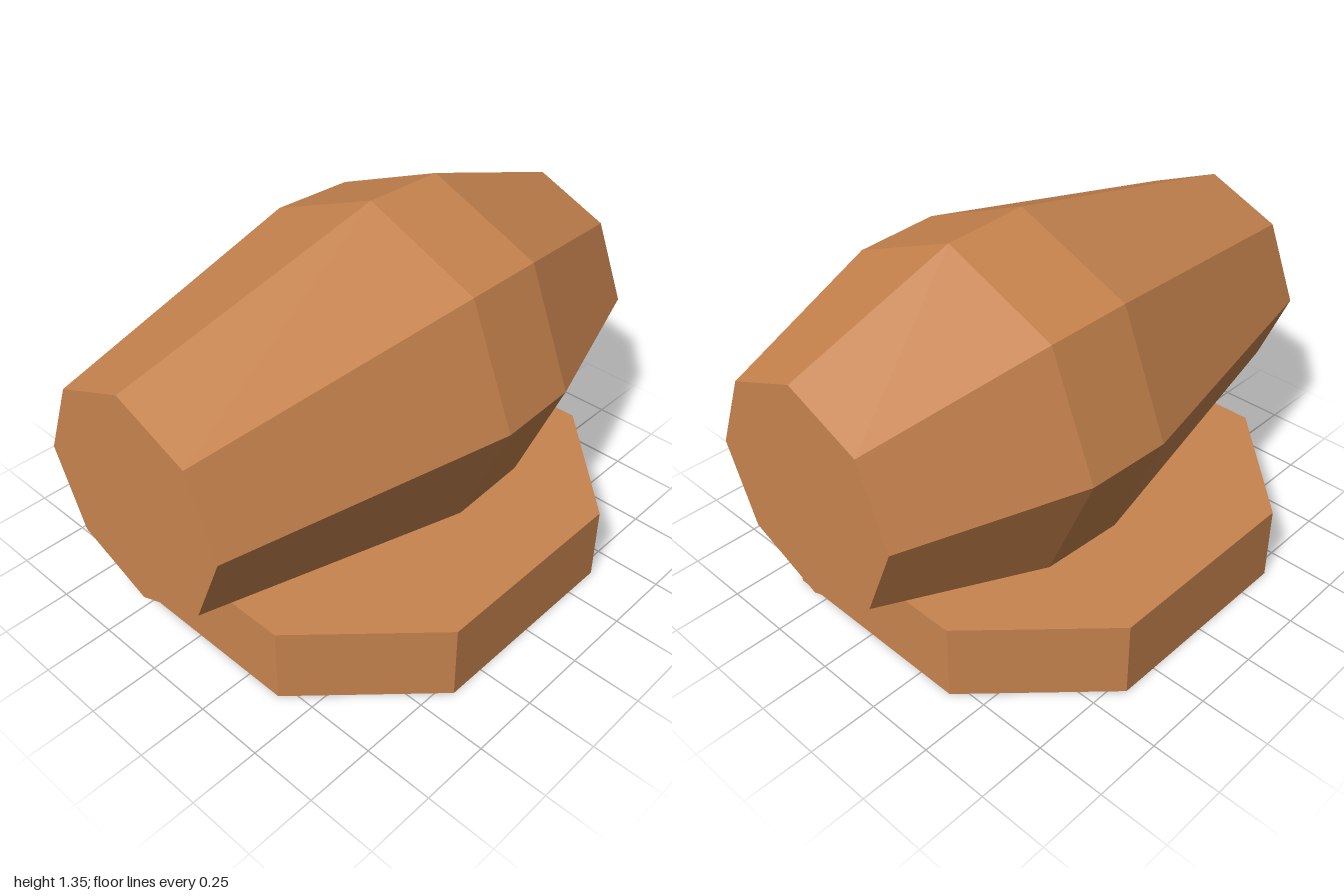
import * as THREE from 'three';

export function createModel() {
  const group = new THREE.Group();
  const wood = new THREE.MeshStandardMaterial({ color: 0xc8844e, flatShading: true });
  wood.name = 'wood brown';

  // Octagonal base with cut corners
  const r = 0.795, h = 0.388;
  const outline = new THREE.Shape(
    [[r, -h], [r, h], [h, r], [-h, r], [-r, h], [-r, -h], [-h, -r], [h, -r]]
      .map(([x, y]) => new THREE.Vector2(x, y))
  );
  const baseGeometry = new THREE.ExtrudeGeometry(outline, { depth: 0.285, bevelEnabled: false });
  baseGeometry.rotateX(-Math.PI / 2);
  const base = new THREE.Mesh(baseGeometry, wood);
  base.name = 'base';
  group.add(base);

  // Eight-sided barrel lying along z, sunk into the base
  const profile = [[0, -1], [0.397, -1], [0.61, -0.37], [0.623, -0.05], [0.397, 1], [0, 1]]
    .map(([radius, z]) => new THREE.Vector2(radius, z));
  const barrelGeometry = new THREE.LatheGeometry(profile, 8);
  barrelGeometry.rotateX(Math.PI / 2);
  const barrel = new THREE.Mesh(barrelGeometry, wood);
  barrel.name = 'barrel';
  barrel.position.y = 0.73;
  group.add(barrel);

  return group;
}
